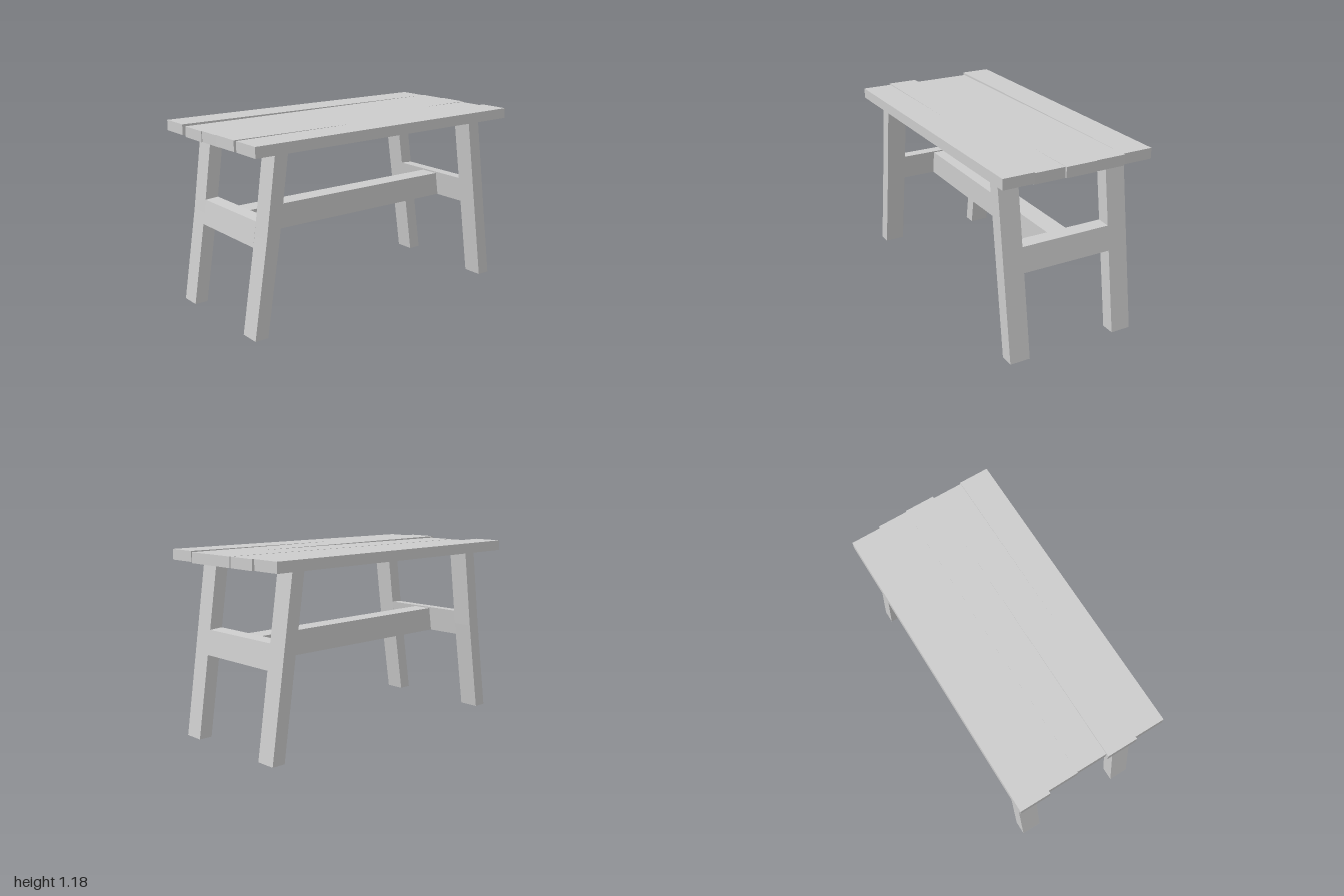
import * as THREE from 'three';

const material = new THREE.MeshStandardMaterial({ color: 0xcccccc, flatShading: true });

// Extrude an x-y outline from z0 to z1
function prism(name, points, z0, z1) {
  const shape = new THREE.Shape(points.map(([x, y]) => new THREE.Vector2(x, y)));
  const geometry = new THREE.ExtrudeGeometry(shape, { depth: z1 - z0, bevelEnabled: false });
  geometry.translate(0, 0, z0);
  const mesh = new THREE.Mesh(geometry, material);
  mesh.name = name;
  return mesh;
}

export function createModel() {
  const table = new THREE.Group();
  table.name = 'plankTable';

  // Table top: five planks of uneven length, each slightly tilted
  const top = new THREE.Group();
  top.name = 'tableTop';
  // [left end, right end, centre height, rise along x]
  const planks = [
    [-1.0, 0.975, 1.144, -0.006],
    [-0.98, 0.99, 1.137, 0.008],
    [-0.975, 0.997, 1.138, 0.008],
    [-0.995, 0.985, 1.142, -0.005],
    [-0.98, 0.99, 1.143, 0.008],
  ];
  planks.forEach(([x0, x1, y, rise], i) => {
    const plank = new THREE.Mesh(new THREE.BoxGeometry(x1 - x0, 0.066, 0.198), material);
    plank.name = `plank${i + 1}`;
    plank.position.set((x0 + x1) / 2, y, (i - 2) * 0.198);
    plank.rotation.z = rise / (x1 - x0);
    top.add(plank);
  });
  table.add(top);

  // End frames: two splayed legs joined by a crossbar at the same slant
  for (const side of [-1, 1]) {
    const frame = new THREE.Group();
    frame.name = side < 0 ? 'rightFrame' : 'leftFrame';
    const bend = side < 0 ? 0.007 : 0; // one pair of legs is slightly bowed
    const outer = (y) => 0.972 - 0.148 * y - bend * (1 - Math.abs(y - 0.6) / 0.6);
    const inner = (y) => outer(y) - 0.088;
    const at = (f, y) => [side * f(y), y];
    const foot = side < 0 ? 0.006 : 0;

    const leg = [
      at(outer, foot), at(outer, 0.6), at(outer, 1.104),
      at(inner, 1.104), at(inner, 0.6), at(inner, foot),
    ];
    frame.add(prism('frontLeg', leg, 0.295, 0.426));
    frame.add(prism('backLeg', leg, -0.426, -0.295));

    const bar = [
      at(outer, 0.529), at(outer, 0.685),
      at(inner, 0.69), at(inner, 0.522),
    ];
    frame.add(prism('crossbar', bar, -0.295, 0.295));
    table.add(frame);
  }

  // Long stretcher between the crossbars
  table.add(prism('stretcher', [
    [-0.8, 0.523], [0.81, 0.523], [0.79, 0.68], [-0.78, 0.682],
  ], -0.065, 0.065));

  return table;
}
